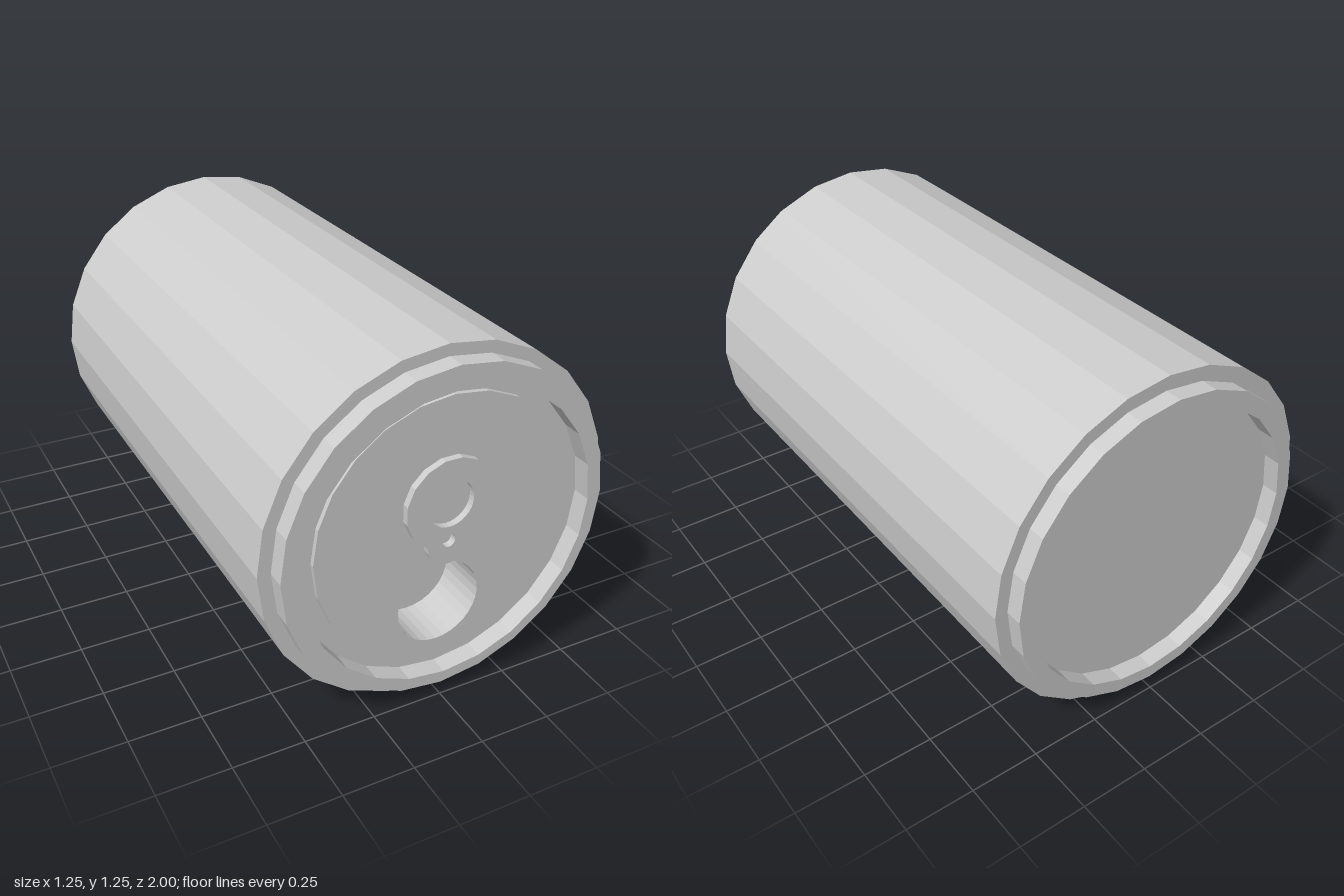
import * as THREE from 'three';

const material = new THREE.MeshStandardMaterial({ color: 0xcccccc, flatShading: true });

// Points of a regular polygon, or of an arc when angles are given
function ring(x, y, r, sides, from = 0, to = Math.PI * 2) {
  const closed = to - from > 6.28;
  const points = [];
  for (let i = 0; i < sides + (closed ? 0 : 1); i++) {
    const a = from + (to - from) * i / sides;
    points.push(new THREE.Vector2(x + r * Math.cos(a), y + r * Math.sin(a)));
  }
  return points;
}

// Flat outline with holes
function outline(points, ...holes) {
  const shape = new THREE.Shape(points);
  for (const hole of holes) shape.holes.push(new THREE.Path(hole));
  return shape;
}

export function createModel() {
  const can = new THREE.Group();
  can.name = 'drinkCan';

  function add(name, geometry, z) {
    const mesh = new THREE.Mesh(geometry, material);
    mesh.name = name;
    mesh.position.z = z;
    can.add(mesh);
    return mesh;
  }
  const slab = (name, shape, back, front) =>
    add(name, new THREE.ExtrudeGeometry(shape, { depth: front - back, bevelEnabled: false }), back);

  const R = 0.625, front = 0.935, back = -0.94, wellFloor = 0.77;
  const bodyRing = ring(0, R, R, 24);
  const mouth = ring(0.003, 0.345, 0.15, 32);

  // Body wall and end caps
  const wall = new THREE.CylinderGeometry(R, R, front - back, 24, 1, true);
  wall.rotateX(Math.PI / 2);
  add('bodyWall', wall, (front + back) / 2).position.y = R;
  add('frontCap', new THREE.ShapeGeometry(outline(bodyRing, mouth)), front);
  add('backCap', new THREE.ShapeGeometry(outline(bodyRing)).rotateY(Math.PI), back);

  // Drinking hole: inward facing wall and floor
  const well = new THREE.CylinderGeometry(0.15, 0.15, front - wellFloor, 32, 1, true);
  well.rotateX(Math.PI / 2);
  well.scale(-1, 1, 1);
  const index = well.index.array;
  // Keep the mirrored winding so that the faces point into the hole
  const wellMesh = add('mouthWall', well, (front + wellFloor) / 2);
  well.setIndex(new THREE.BufferAttribute(index, 1));
  well.computeVertexNormals();
  wellMesh.position.set(0.003, 0.345, (front + wellFloor) / 2);
  add('mouthFloor', new THREE.ShapeGeometry(outline(mouth)), wellFloor);

  // Raised rims at both ends
  slab('frontRim', outline(ring(0, 0.629, 0.58, 24), ring(0.012, 0.61, 0.52, 24)), front, 1);
  slab('backRim', outline(ring(0.01, 0.63, 0.57, 24), ring(0.01, 0.625, 0.515, 24)), -1, back);

  // Lid panel around the drinking hole
  slab('lidPanel', outline(ring(0.018, 0.622, 0.468, 24), mouth), front, 0.952);

  // Pull tab: round finger loop merging into a smaller nose
  const d = Math.PI / 180;
  const tab = [
    ...ring(0.013, 0.725, 0.16, 13, -58 * d, 238 * d),
    ...ring(0.013, 0.58, 0.076, 12, 180 * d, 360 * d),
  ];
  slab('pullTab', outline(tab, ring(0.013, 0.725, 0.083, 32), ring(0.013, 0.59, 0.023, 20)), 0.952, 0.976);

  return can;
}
